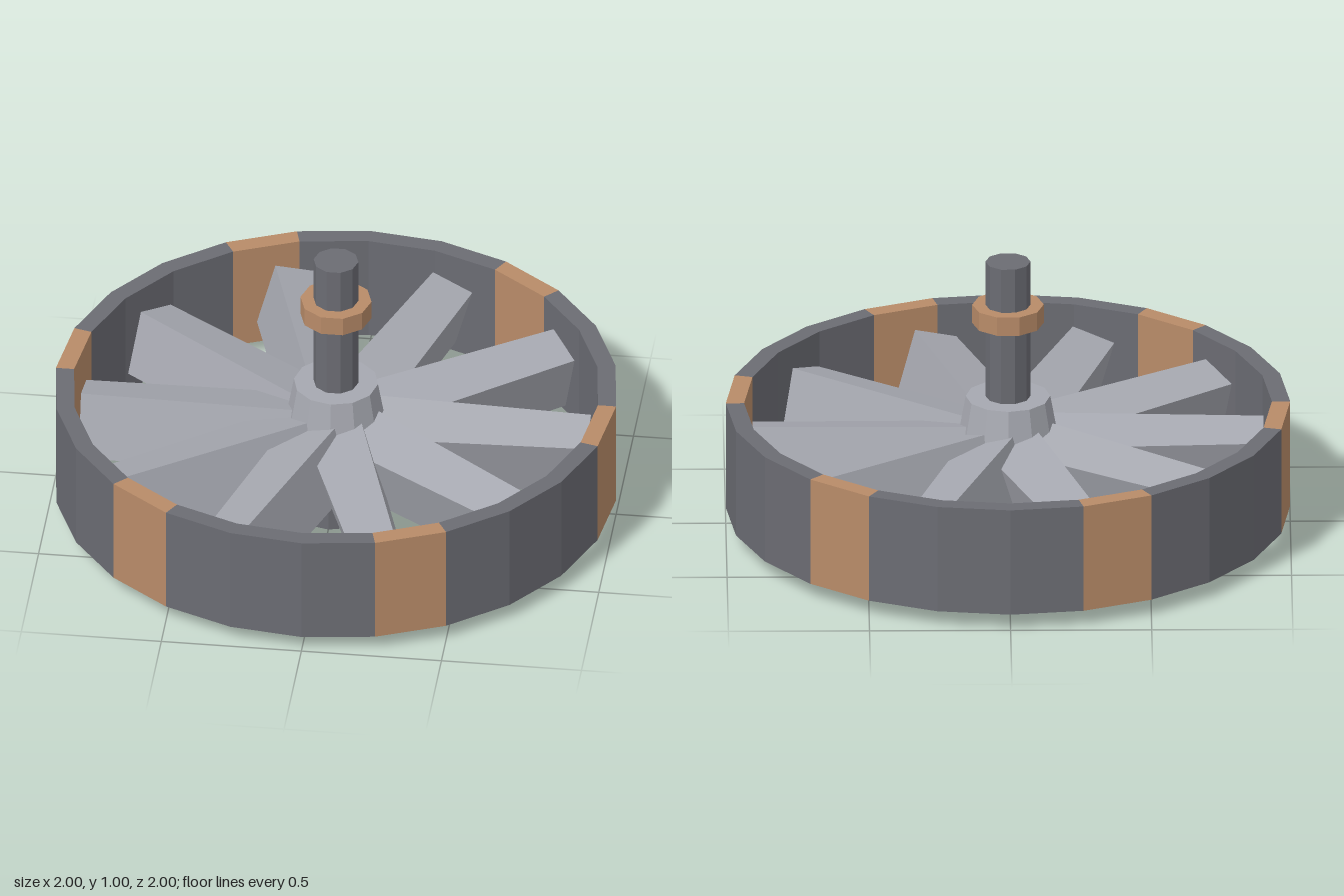
import * as THREE from 'three';

const mat = (name, color) => {
  const m = new THREE.MeshStandardMaterial({ color, flatShading: true });
  m.name = name;
  return m;
};

export function createModel() {
  const steel = mat('dark steel', 0x6b6c73);
  const alloy = mat('light alloy', 0xa6a8b0);
  const copper = mat('copper', 0xb88b68);
  const model = new THREE.Group();
  model.name = 'fanWheel';

  const add = (parent, name, geometry, material) => {
    const mesh = new THREE.Mesh(geometry, material);
    mesh.name = name;
    parent.add(mesh);
    return mesh;
  };
  // Upright turned part between two heights, with a corner on the x axis
  const turned = (name, rTop, rBottom, y0, y1, sides, material) =>
    add(model, name, new THREE.CylinderGeometry(rTop, rBottom, y1 - y0, sides)
      .rotateY(Math.PI / 2).translate(0, (y0 + y1) / 2, 0), material);

  // Outer ring: 24 flat segments, every fourth one copper
  const ring = new THREE.Group();
  ring.name = 'outerRing';
  model.add(ring);
  const SEGMENTS = 24, step = Math.PI * 2 / SEGMENTS;
  const at = (r, a) => new THREE.Vector2(r * Math.cos(a), r * Math.sin(a));
  const quad = new THREE.Shape([at(0.935, 0), at(1, 0), at(1, step), at(0.935, step)]);
  const segment = new THREE.ExtrudeGeometry(quad, { depth: 0.4, bevelEnabled: false })
    .rotateX(Math.PI / 2).translate(0, 0.46, 0);
  for (let i = 0; i < SEGMENTS; i++) {
    const band = i % 4 === 0;
    const mesh = add(ring, band ? 'copperBand' : 'ringSegment', segment, band ? copper : steel);
    mesh.rotation.y = -i * step;
  }

  // Blades: pitched bars that widen toward the hub
  const blades = new THREE.Group();
  blades.name = 'blades';
  model.add(blades);
  const R0 = 0.12, R1 = 0.905;
  const blade = new THREE.BoxGeometry(R1 - R0, 0.24, 0.16);
  const p = blade.attributes.position;
  for (let i = 0; i < p.count; i++) if (p.getX(i) < 0) p.setZ(i, p.getZ(i) * 1.28);
  blade.rotateX(0.28).translate((R0 + R1) / 2, 0.25, 0);
  blade.computeVertexNormals();
  for (let i = 0; i < 10; i++) {
    add(blades, 'blade', blade, alloy).rotation.y = -i * Math.PI / 5;
  }

  // Hub, base, shaft and collar
  turned('base', 0.222, 0.222, 0, 0.12, 12, steel);
  turned('hub', 0.15, 0.215, 0.12, 0.485, 12, alloy);
  turned('shaft', 0.08, 0.08, 0.4, 1, 10, steel);
  turned('collar', 0.127, 0.127, 0.765, 0.835, 10, copper);
  return model;
}
